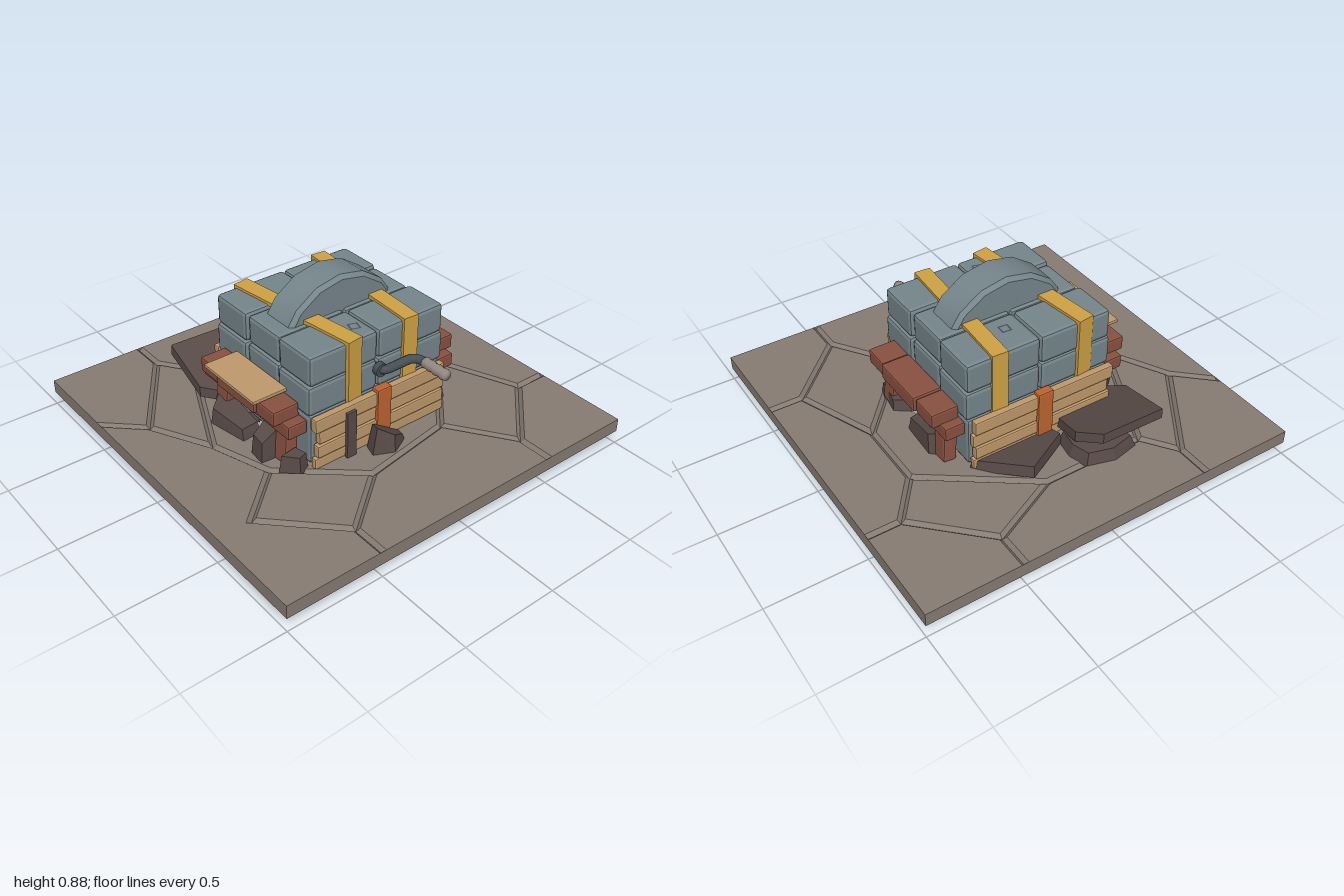
import * as THREE from 'three';
import { toCreasedNormals } from 'three/addons/utils/BufferGeometryUtils.js';
import { RoundedBoxGeometry } from 'three/addons/geometries/RoundedBoxGeometry.js';
import { ConvexGeometry } from 'three/addons/geometries/ConvexGeometry.js';

const mat = (name, color, side = THREE.FrontSide) => {
  const m = new THREE.MeshStandardMaterial({ color, side });
  m.name = name;
  return m;
};

export function createModel() {
  const root = new THREE.Group();
  const paving = mat('paving', 0x877c74, THREE.DoubleSide);
  const stone = mat('blue grey stone', 0x76868c);
  const yellow = mat('yellow strap', 0xd0a244);
  const paleWood = mat('pale wood', 0xc09a6c);
  const redWood = mat('red wood', 0x8a5141);
  const rubble = mat('dark rubble', 0x594b48);
  const orange = mat('orange bracket', 0xc0642f);
  const iron = mat('dark iron', 0x485156);
  const grip = mat('grip', 0x978a84);

  const add = (name, geo, material, x = 0, y = 0, z = 0) => {
    const m = new THREE.Mesh(geo, material);
    m.name = name;
    m.position.set(x, y, z);
    root.add(m);
    return m;
  };
  // Chamfered box given by its min and max corners
  const block = (name, material, [x0, y0, z0], [x1, y1, z1], r = 0.012) => {
    const g = new RoundedBoxGeometry(x1 - x0, y1 - y0, z1 - z0, 1, r);
    g.computeVertexNormals();
    return add(name, g, material, (x0 + x1) / 2, (y0 + y1) / 2, (z0 + z1) / 2);
  };
  // Angular piece: footprint of [x, z] corners, sloping top, thickness, top shrink
  const shard = (name, poly, topY, thick, shrink = 0.85) => {
    const cx = poly.reduce((s, p) => s + p[0], 0) / poly.length;
    const cz = poly.reduce((s, p) => s + p[1], 0) / poly.length;
    const pts = [];
    for (const [x, z] of poly) {
      const y = topY(x, z);
      pts.push(new THREE.Vector3(cx + (x - cx) * shrink, y, cz + (z - cz) * shrink));
      pts.push(new THREE.Vector3(x, Math.max(y - thick, 0.1), z));
    }
    return add(name, new ConvexGeometry(pts), rubble);
  };

  // Paving stones: flat tops with sloped edges that form the grooves
  const GROUND = 0.14, DEPTH = 0.018, INSET = 0.018;
  const insetPolygon = (poly) => {
    const area = poly.reduce((s, p, i) => {
      const q = poly[(i + 1) % poly.length];
      return s + p[0] * q[1] - q[0] * p[1];
    }, 0);
    const lines = poly.map((p, i) => {
      const q = poly[(i + 1) % poly.length];
      const len = Math.hypot(q[0] - p[0], q[1] - p[1]) * Math.sign(area);
      const n = [-(q[1] - p[1]) / len, (q[0] - p[0]) / len];
      const outer = [0, 1].some((k) => Math.abs(p[k]) === 1 && p[k] === q[k]);
      return [...n, n[0] * p[0] + n[1] * p[1] + (outer ? 0 : INSET)];
    });
    return lines.map((b, i) => {
      const a = lines[(i + lines.length - 1) % lines.length];
      const d = a[0] * b[1] - a[1] * b[0];
      return [(a[2] * b[1] - b[2] * a[1]) / d, (a[0] * b[2] - b[0] * a[2]) / d];
    });
  };
  const toPoints = (poly) => poly.map(([x, z]) => new THREE.Vector2(x, -z));
  const pavingStone = (poly, hole) => {
    const top = insetPolygon(poly);
    const shape = new THREE.Shape(toPoints(top));
    if (hole) shape.holes.push(new THREE.Path(toPoints(hole)));
    add('pavingStone', new THREE.ShapeGeometry(shape).rotateX(-Math.PI / 2), paving, 0, GROUND, 0);
    const v = [];
    poly.forEach((p, i) => {
      const j = (i + 1) % poly.length;
      const a = [p[0], GROUND - DEPTH, p[1]], b = [poly[j][0], GROUND - DEPTH, poly[j][1]];
      const c = [top[j][0], GROUND, top[j][1]], d = [top[i][0], GROUND, top[i][1]];
      v.push(...a, ...b, ...c, ...a, ...c, ...d);
    });
    const g = new THREE.BufferGeometry();
    g.setAttribute('position', new THREE.Float32BufferAttribute(v, 3));
    g.computeVertexNormals();
    add('pavingGroove', g, paving);
  };
  const NW = [-0.5, -0.83], W1 = [-0.82, -0.51], N1 = [-0.28, -0.66], N2 = [0.08, -0.66];
  const NE = [0.5, -0.83], E1 = [0.82, -0.51], E2 = [0.5, -0.29], E3 = [0.58, 0.2];
  const E4 = [0.82, 0.5], SE = [0.5, 0.82], S1 = [0.27, 0.56], S2 = [-0.04, 0.66];
  const SW = [-0.35, 0.82], W4 = [-0.82, 0.5], W3 = [-0.65, 0.38], W2 = [-0.65, -0.15];
  [
    [[-1, -1], [-0.5, -1], NW, W1, [-1, -0.51]],
    [[-0.5, -1], [0.5, -1], NE, N2, N1, NW],
    [[0.5, -1], [1, -1], [1, -0.51], E1, NE],
    [N2, NE, E1, E2],
    [NW, N1, W2, W1],
    [[-1, -0.51], W1, W2, W3, W4, [-1, 0.5]],
    [[1, -0.51], [1, 0.5], E4, E3, E2, E1],
    [[-1, 0.5], W4, SW, [-0.52, 1], [-1, 1]],
    [[-0.52, 1], SW, S2, S1, SE, E4, [1, 0.5], [1, 1]],
    [S1, SE, E4, E3],
    [W4, SW, S2, W3],
  ].forEach((p) => pavingStone(p));
  // Middle paving with the broken pit
  pavingStone([N1, N2, E2, E3, S1, S2, W3, W2], [[-0.36, -0.25], [-0.2, -0.41], [0.15, -0.42],
    [0.34, -0.28], [0.4, 0.02], [0.33, 0.3], [0.1, 0.43], [-0.2, 0.4], [-0.4, 0.22]]);
  const skirt = new THREE.CylinderGeometry(Math.SQRT2, Math.SQRT2, 0.07, 4, 1, true, Math.PI / 4).toNonIndexed();
  skirt.computeVertexNormals();
  add('pavingEdge', skirt, paving, 0, 0.105, 0);

  // Stone block stack: three columns, two rows, three layers
  const xs = [-0.37, -0.125, 0.125, 0.365], zs = [-0.395, 0, 0.39], ys = [0.145, 0.41, 0.565, 0.72];
  for (let i = 0; i < 3; i++) for (let j = 0; j < 2; j++) for (let k = 0; k < 3; k++) {
    const push = (i === 1 ? -0.01 : 0) + (k === 1 ? 0.008 : 0);
    block('stoneBlock', stone,
      [xs[i] + 0.003, ys[k], zs[j] + (j ? 0.003 : -push)],
      [xs[i + 1] - 0.003, ys[k + 1] - 0.002 - (i === 1 && k === 2 ? 0.008 : 0), zs[j + 1] + (j ? push : -0.003)], 0.018);
  }
  // Chipped diamond marks
  const mark = (x, y, z, ry) => {
    const g = new THREE.RingGeometry(0.025, 0.037, 4).rotateX(-Math.PI / 2).rotateY(ry);
    add('chipMark', g, iron, x, y, z);
  };
  mark(-0.22, 0.7195, -0.1, 0.7);
  mark(0.265, 0.7195, 0.065, 0.5);

  // Grinding wheel
  const wheelProfile = [[0, -0.1], [0.335, -0.1], [0.355, -0.08], [0.355, 0.08], [0.335, 0.1], [0, 0.1]]
    .map(([r, y]) => new THREE.Vector2(r, y));
  const wheel = new THREE.LatheGeometry(wheelProfile, 16).rotateZ(Math.PI / 2);
  add('wheel', toCreasedNormals(wheel, 0.6), stone, 0, 0.53, 0);

  // Straps and bracket: rectangular bands around the stack
  const band = (name, material, w, y0, y1, t, depth, z, ry) => {
    const s = new THREE.Shape([[-w, y0], [w, y0], [w, y1], [-w, y1]].map((p) => new THREE.Vector2(...p)));
    s.holes.push(new THREE.Path([[-w + t, y0 + t], [-w + t, y1 - t], [w - t, y1 - t], [w - t, y0 + t]]
      .map((p) => new THREE.Vector2(...p))));
    const g = new THREE.ExtrudeGeometry(s, { depth, bevelEnabled: false }).translate(0, 0, -depth / 2);
    add(name, g, material, 0, 0, z).rotation.y = ry;
  };
  band('backStrap', yellow, 0.38, 0.138, 0.732, 0.02, 0.082, -0.205, -0.06);
  band('frontStrap', yellow, 0.38, 0.138, 0.732, 0.02, 0.085, 0.195, 0.13);
  block('bracketBase', orange, [-0.41, 0.128, -0.04], [0.41, 0.143, 0.04], 0.004);

  for (const s of [-1, 1]) {
    const span = (a, b) => (s > 0 ? [a, b] : [-b, -a]);
    // Side planks
    const planks = [[0.142, 0.198], [0.203, 0.268], [0.273, 0.34], [0.345, 0.418]];
    planks.forEach(([y0, y1], i) => {
      const [a, b] = span(0.372, i % 2 ? 0.41 : 0.404);
      block('sidePlank', paleWood, [a, y0, -0.39 + 0.01 * (i % 2)], [b, y1, 0.395 - 0.012 * (i % 3)], 0.007);
    });
    const [a, b] = span(0.372, 0.42);
    block('sideBracket', orange, [a, 0.13, -0.042], [b, 0.435, 0.042], 0.008);

    // Trestles at the front and back
    const row = (name, x0, x1, y0, y1, z0, z1) =>
      block(name, redWood, [x0, y0, s > 0 ? z0 : -z1], [x1, y1, s > 0 ? z1 : -z0], 0.01);
    row('lowerBeam', -0.345, 0.345, 0.32, 0.392, 0.395, 0.5);
    row('upperBeam', -0.15, 0.15, 0.382, 0.465, 0.4, 0.552);
    row('upperBeamEnd', -0.298, -0.155, 0.382, 0.46, 0.4, 0.542);
    row('upperBeamEnd', 0.155, 0.292, 0.382, 0.46, 0.4, 0.542);
    for (const x of [-0.24, 0.24]) {
      const leg = row('trestleLeg', x - 0.045, x + 0.045, 0.135, 0.33, 0.405, 0.475);
      leg.rotation.set(-s * 0.1, 0, Math.sign(x) * 0.08);
    }
  }
  // Loose board on the front trestle
  block('looseBoard', paleWood, [-0.2, 0.468, 0.395], [0.197, 0.486, 0.583], 0.004);

  // Crank handle
  const crank = new THREE.CurvePath();
  const V = (x, z) => new THREE.Vector3(x, 0.52, z);
  crank.add(new THREE.LineCurve3(V(0.35, 0), V(0.37, 0)));
  crank.add(new THREE.QuadraticBezierCurve3(V(0.37, 0), V(0.4, 0), V(0.4, -0.04)));
  crank.add(new THREE.LineCurve3(V(0.4, -0.04), V(0.4, -0.15)));
  crank.add(new THREE.QuadraticBezierCurve3(V(0.4, -0.15), V(0.4, -0.2), V(0.47, -0.2)));
  add('crank', new THREE.TubeGeometry(crank, 24, 0.023, 10), iron);
  add('crankHub', toCreasedNormals(new THREE.CylinderGeometry(0.035, 0.035, 0.03, 12).rotateZ(Math.PI / 2), 0.7), iron, 0.38, 0.52, 0);
  const gripProfile = [[0, 0], [0.022, 0], [0.03, 0.012], [0.025, 0.03], [0.03, 0.05], [0.025, 0.07],
    [0.03, 0.09], [0.025, 0.115], [0.03, 0.135], [0.024, 0.155], [0, 0.157]].map((p) => new THREE.Vector2(...p));
  add('handleGrip', new THREE.LatheGeometry(gripProfile, 10).rotateZ(-Math.PI / 2), grip, 0.457, 0.52, -0.2);

  // Bottom pin
  const pinProfile = [[0, 0], [0.027, 0], [0.032, 0.02], [0.027, 0.026], [0.036, 0.04], [0.036, 0.07], [0.03, 0.075], [0.03, 0.16]]
    .map((p) => new THREE.Vector2(...p));
  add('bottomPin', toCreasedNormals(new THREE.LatheGeometry(pinProfile, 12), 0.6), redWood);

  // Heaved slabs and rubble around the pit
  shard('heavedSlab', [[-0.57, 0.06], [-0.68, 0.14], [-0.69, 0.48], [-0.38, 0.51], [-0.28, 0.4], [-0.28, 0.1]],
    (x) => 0.2 + (-0.28 - x) * 0.26, 0.055, 0.99);
  shard('heavedSlab', [[-0.38, -0.4], [-0.62, -0.2], [-0.47, 0.06], [-0.34, 0.04], [-0.3, -0.3]],
    (x) => 0.17 + (-0.3 - x) * 0.17, 0.06, 0.95);
  shard('rubbleLeft', [[-0.57, 0.03], [-0.67, 0.06], [-0.71, 0.2], [-0.68, 0.34], [-0.45, 0.3], [-0.45, 0.05]],
    () => 0.205, 0.07, 0.85);
  shard('rubbleRight', [[0.41, -0.12], [0.47, -0.1], [0.53, 0.02], [0.48, 0.12], [0.41, 0.1]],
    (x, z) => 0.22 + z * 0.5, 0.15, 0.75);
  shard('rubbleFront', [[-0.3, 0.46], [-0.2, 0.57], [0.03, 0.53], [0.02, 0.42], [-0.25, 0.41]],
    (x) => 0.2 - x * 0.13, 0.12, 0.85);
  shard('rubbleFront', [[0.09, 0.42], [0.11, 0.55], [0.21, 0.56], [0.22, 0.42]],
    (x, z) => 0.31 - (z - 0.42) * 0.5, 0.3, 0.8);
  shard('rubbleFront', [[0.28, 0.42], [0.3, 0.53], [0.38, 0.46], [0.36, 0.4]], () => 0.22, 0.12, 0.8);
  shard('rubbleBack', [[-0.28, -0.42], [-0.2, -0.51], [0.02, -0.5], [0.05, -0.41]], (x) => 0.22 - x * 0.15, 0.2, 0.8);
  shard('rubbleBack', [[0.1, -0.42], [0.16, -0.5], [0.34, -0.47], [0.32, -0.4]], () => 0.2, 0.12, 0.8);
  block('standingShard', rubble, [0.405, 0.13, 0.17], [0.425, 0.39, 0.225], 0.004);
  // Broken pieces under the rim of the pit
  for (let i = 0; i < 9; i++) {
    const a = i * 0.7, r = 0.36 + 0.03 * Math.sin(i * 5);
    const poly = [[0.09, 0], [0.02, 0.1], [-0.09, 0.03], [-0.03, -0.09]].map(([u, w]) =>
      [Math.cos(a) * (r + u * 0.8) - Math.sin(a) * w, Math.sin(a) * (r + u * 0.8) + Math.cos(a) * w]);
    shard('pitRubble', poly, () => 0.139, 0.03 + 0.01 * (i % 2), 0.85);
  }
  return root;
}
